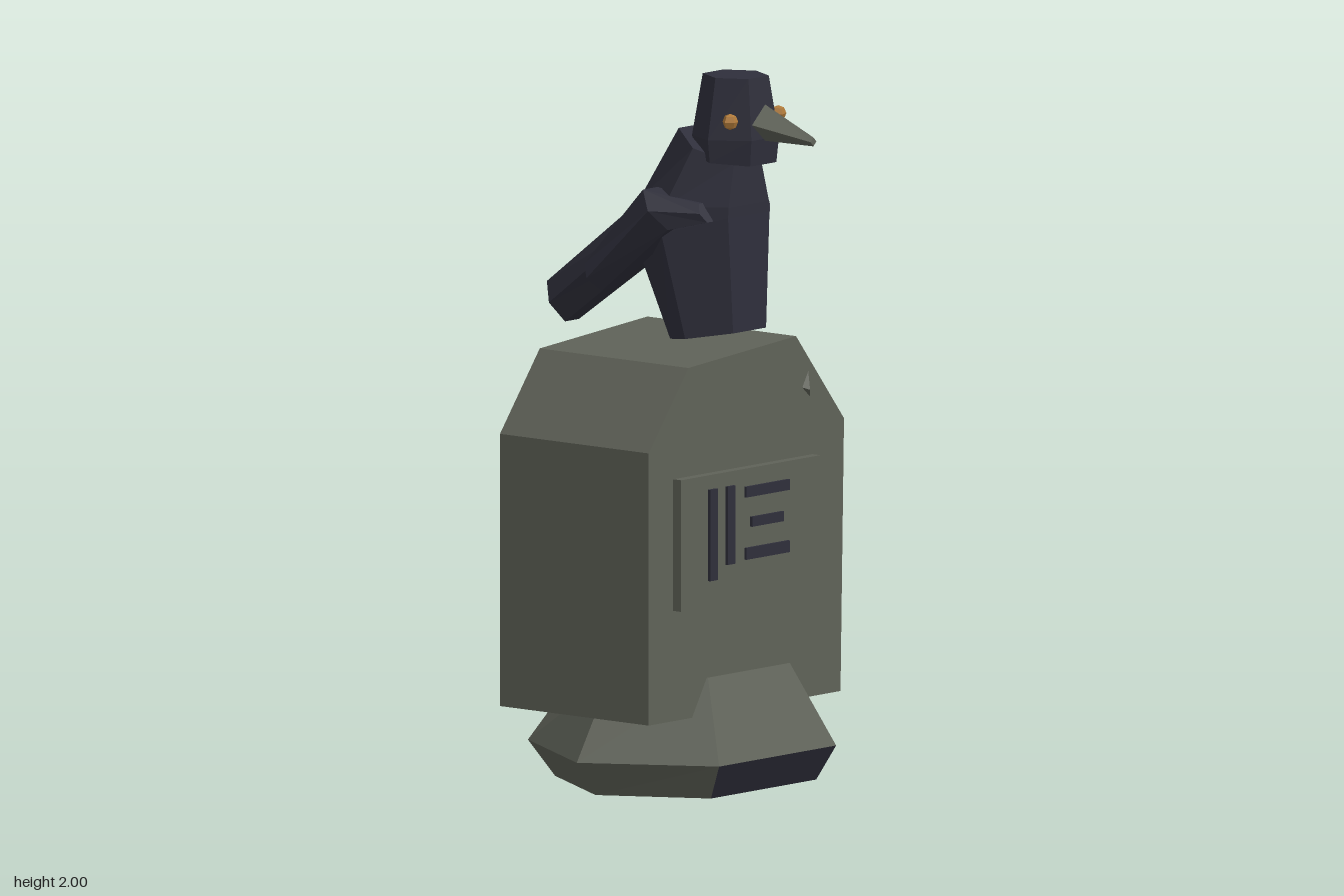
import * as THREE from 'three';
import { ConvexGeometry } from 'three/addons/geometries/ConvexGeometry.js';

const material = (name, color) => {
  const m = new THREE.MeshStandardMaterial({ color, flatShading: true });
  m.name = name;
  return m;
};

// Joins rings of points with flat quads and closes both ends.
// pick(band, side) gives the material index; band -1 is the first cap.
function loft(rings, pick = () => 0) {
  const pos = [], geo = new THREE.BufferGeometry();
  const n = rings[0].length;
  const add = (m, ...pts) => {
    geo.addGroup(pos.length / 3, pts.length, m);
    pts.forEach(p => pos.push(...p));
  };
  const middle = r => [0, 1, 2].map(k => r.reduce((s, p) => s + p[k], 0) / n);
  const first = rings[0], last = rings[rings.length - 1];
  for (let i = 0; i < n; i++) {
    const j = (i + 1) % n;
    for (let b = 0; b < rings.length - 1; b++) {
      const lo = rings[b], hi = rings[b + 1];
      add(pick(b, i), lo[i], hi[i], lo[j], lo[j], hi[i], hi[j]);
    }
    add(pick(-1, i), middle(first), first[i], first[j]);
    add(pick(rings.length - 1, i), middle(last), last[j], last[i]);
  }
  geo.setAttribute('position', new THREE.Float32BufferAttribute(pos, 3));
  geo.computeVertexNormals();
  return geo;
}

// Six-sided ring centred on cx, spanning two [z, y] points in side profile.
function hexRing(cx, rx, [az, ay], [bz, by]) {
  return Array.from({ length: 6 }, (_, i) => {
    const a = i * Math.PI / 3, s = Math.sin(a) / Math.sin(Math.PI / 3) / 2;
    return [cx + rx * Math.cos(a), (ay + by) / 2 + (ay - by) * s, (az + bz) / 2 + (az - bz) * s];
  });
}

export function createModel() {
  const root = new THREE.Group();
  root.name = 'gravestoneWithBird';
  const stone = material('stone', 0x5f6258);
  const dark = material('darkFeather', 0x2f2f3b);
  const amber = material('amberEye', 0xb07a3a);

  const add = (name, geo, mat, parent = root) => {
    const mesh = new THREE.Mesh(geo, mat);
    mesh.name = name;
    parent.add(mesh);
    return mesh;
  };
  const box = (name, x0, x1, y0, y1, z0, z1, mat) => {
    add(name, new THREE.BoxGeometry(x1 - x0, y1 - y0, z1 - z0), mat)
      .position.set((x0 + x1) / 2, (y0 + y1) / 2, (z0 + z1) / 2);
  };

  // Slab with uneven cut corners
  const outline = [[-0.45, 0.225], [0.37, 0.225], [0.385, 0.99], [0.18, 1.245], [-0.28, 1.21], [-0.45, 0.99]];
  const slab = new THREE.ExtrudeGeometry(
    new THREE.Shape(outline.map(p => new THREE.Vector2(...p))), { depth: 0.543, bevelEnabled: false });
  slab.translate(0, 0, -0.306);
  add('slab', slab, stone);

  // Six-sided foot, with some dark faces
  const foot = (y, pts) => pts.map(([x, z]) => [x, y, z]);
  const footGeo = loft([
    foot(0, [[0.4, 0], [0.21, 0.285], [-0.24, 0.285], [-0.4, 0], [-0.21, -0.31], [0.2, -0.28]]),
    foot(0.1, [[0.48, 0], [0.225, 0.345], [-0.275, 0.345], [-0.48, 0], [-0.25, -0.375], [0.23, -0.33]]),
    foot(0.33, [[0.325, 0], [0.15, 0.24], [-0.2, 0.24], [-0.335, 0], [-0.17, -0.23], [0.15, -0.22]]),
  ], (band, side) => (band === -1 || (band === 0 && side === 1) || (band === 1 && side === 4)) ? 1 : 0);
  add('foot', footGeo, [stone, dark]);

  // Plaque with engraved bars
  box('plaque', -0.345, 0.25, 0.535, 0.905, 0.22, 0.266, stone);
  [[-0.23, -0.197, 0.608, 0.865], [-0.155, -0.122, 0.645, 0.865], [-0.075, 0.11, 0.825, 0.855],
    [-0.05, 0.085, 0.74, 0.768], [-0.075, 0.11, 0.65, 0.683]]
    .forEach(([a, b, c, d], i) => box('bar' + (i + 1), a, b, c, d, 0.265, 0.274, dark));

  // Chips on the cut corner and front edge
  const chip = (name, pts) =>
    add(name, new ConvexGeometry(pts.map(p => new THREE.Vector3(...p))), stone);
  chip('cornerChip', [[0.23, 1.185, 0.21], [0.23, 1.185, 0.13], [0.285, 1.115, 0.17], [0.265, 1.19, 0.17]]);
  chip('frontChip', [[0.2, 1.1, 0.232], [0.235, 1.16, 0.232], [0.245, 1.06, 0.232], [0.225, 1.09, 0.25]]);

  // Bird
  const bird = new THREE.Group();
  bird.name = 'bird';
  root.add(bird);
  const cx = -0.022;

  add('body', loft([
    hexRing(cx, 0.141, [0.24, 1.285], [0.01, 1.247]),
    hexRing(cx, 0.177, [0.237, 1.61], [-0.1, 1.51]),
    hexRing(cx, 0.172, [0.237, 1.64], [-0.09, 1.63]),
    hexRing(cx, 0.115, [0.232, 1.76], [0.03, 1.84]),
  ]), dark, bird);

  add('head', loft([
    hexRing(cx, 0.112, [0.29, 1.757], [0.09, 1.77]),
    hexRing(cx, 0.118, [0.297, 1.83], [0.08, 1.826]),
    hexRing(cx, 0.087, [0.273, 2], [0.106, 2]),
  ]), dark, bird);

  add('tail', loft([
    hexRing(-0.02, 0.09, [-0.09, 1.645], [-0.03, 1.52]),
    hexRing(-0.016, 0.06, [-0.48, 1.354], [-0.414, 1.247]),
  ]), dark, bird);

  // Wings, tapering forward into the shoulders
  for (const s of [-1, 1]) {
    const x = cx + s * 0.155;
    add(s < 0 ? 'rightWing' : 'leftWing', loft([
      hexRing(cx + s * 0.12, 0.03, [0.17, 1.65], [0.2, 1.6]),
      hexRing(x, 0.064, [0.01, 1.68], [0.1, 1.575]),
      hexRing(x, 0.057, [-0.207, 1.45], [-0.143, 1.38]),
    ]), dark, bird);

    // Eye
    add(s < 0 ? 'rightEye' : 'leftEye', new THREE.SphereGeometry(0.023, 5, 4), amber, bird)
      .position.set(-0.022 + s * 0.103, 1.885, 0.257);
  }

  // Beak with a diamond section
  const diamond = (x, y, z, w, up, down) => [[x + w, y, z], [x, y - down, z], [x - w, y, z], [x, y + up, z]];
  add('beak', loft([
    diamond(-0.026, 1.84, 0.477, 0.012, 0.012, 0.013),
    diamond(-0.026, 1.875, 0.3, 0.056, 0.052, 0.05),
  ].reverse()), stone, bird);

  return root;
}
